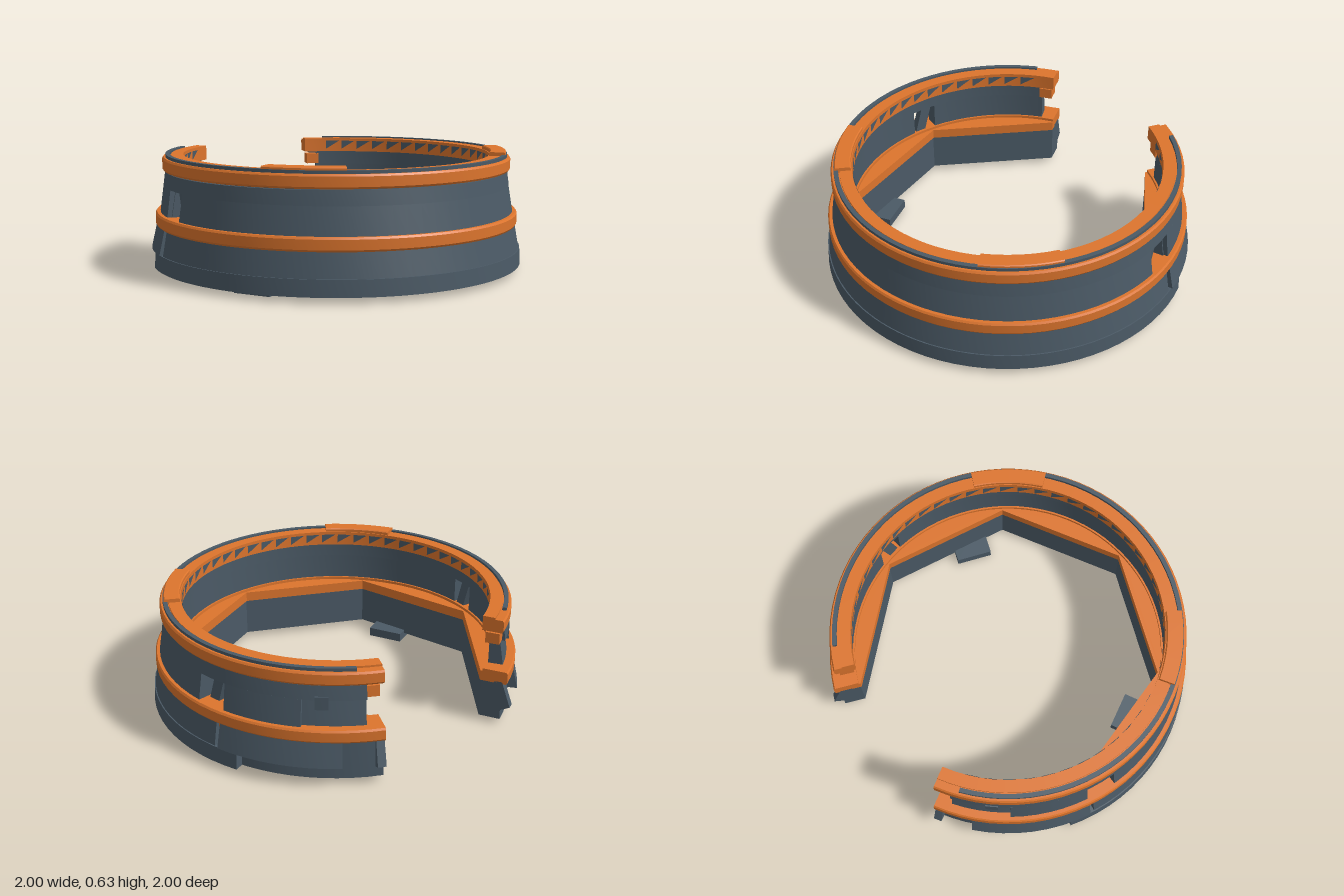
import * as THREE from 'three';
import { toCreasedNormals, mergeGeometries } from 'three/addons/utils/BufferGeometryUtils.js';

const rad = THREE.MathUtils.degToRad;
const STEP = 360 / 7;                 // the base is a heptagon with one side missing
const START = 45 - 3 * STEP, END = 45 + 3 * STEP;

// Closed (radius, height) profile, counter-clockwise, swept between two angles and capped
function sector(profile, a0, a1) {
  const pts = profile.map(([r, y]) => new THREE.Vector2(r, y));
  const segs = Math.max(2, Math.round((a1 - a0) / 4.5));
  const body = new THREE.LatheGeometry([...pts, pts[0].clone()], segs, rad(a0), rad(a1 - a0));
  const caps = [a0, a1].map((a, end) => {
    const cap = new THREE.ShapeGeometry(new THREE.Shape(pts));
    cap.rotateY(rad(a - 90));
    if (end) cap.index.array.reverse();
    return cap;
  });
  return toCreasedNormals(mergeGeometries([body, ...caps]), 0.45);
}

const box = (r0, r1, y0, y1) => [[r0, y0], [r1, y0], [r1, y1], [r0, y1]];

// Slab with a round outside and a seven-sided inside
function heptagonSlab(inner, outer, y0, y1) {
  const shape = new THREE.Shape();
  const at = (r, a) => [r * Math.sin(rad(a)), -r * Math.cos(rad(a))];
  shape.moveTo(...at(outer, START));
  for (let i = 1; i <= 72; i++) shape.lineTo(...at(outer, START + (END - START) * i / 72));
  for (let i = 6; i >= 0; i--) shape.lineTo(...at(inner, START + i * STEP));
  const geo = new THREE.ExtrudeGeometry(shape, { depth: y1 - y0, bevelEnabled: false });
  geo.rotateX(-Math.PI / 2).translate(0, y0, 0);
  return toCreasedNormals(geo, 0.3);
}

export function createModel() {
  const group = new THREE.Group();
  const dark = new THREE.MeshStandardMaterial({ name: 'slate', color: 0x4b5a66 });
  const orange = new THREE.MeshStandardMaterial({ name: 'orange', color: 0xdd752d });
  const toothMat = new THREE.MeshStandardMaterial({ name: 'slateThin', color: 0x4b5a66, side: THREE.DoubleSide });
  const add = (name, geo, mat) => {
    const m = new THREE.Mesh(geo, mat);
    m.name = name;
    group.add(m);
    return m;
  };
  // Same part at both ends of the ring, mirrored about the diagonal x = z
  const addPair = (name, profile, a0, a1, mat) => {
    add(name, sector(profile, a0, a1), mat);
    add(name, sector(profile, 90 - a1, 90 - a0), mat);
  };

  // Base and ledge
  add('base', heptagonSlab(0.835, 0.92, 0.03, 0.24), dark);
  add('ledge', heptagonSlab(0.83, 0.93, 0.24, 0.295), orange);

  // Skirt
  add('bottomBand', sector([[0.88, 0.03], [1.0, 0.03], [0.995, 0.115], [0.88, 0.115]], -66, 156), dark);
  add('skirt', sector([[0.88, 0.11], [0.99, 0.11], [0.965, 0.25], [0.88, 0.25]], -58, 148), dark);
  addPair('endSkirt', [[0.88, 0.115], [1.0, 0.115], [0.97, 0.25], [0.88, 0.25]], -97, -59.5, dark);
  addPair('endSkirtRecess', [[0.88, 0.03], [0.95, 0.03], [0.945, 0.25], [0.88, 0.25]], START, -59, dark);
  addPair('endFin', [[0.88, 0.05], [1.0, 0.11], [0.95, 0.25], [0.88, 0.25]], START, START + 2.5, dark);

  // Middle band
  add('middleBand', sector([[0.84, 0.24], [0.97, 0.24], [0.977, 0.25], [0.977, 0.3],
    [0.97, 0.31], [0.84, 0.31]], START, END), orange);

  // Upper wall, with a slot on either side
  add('upperWall', sector([[0.85, 0.3], [0.955, 0.3], [0.93, 0.45], [0.85, 0.45]], -50, 140), dark);
  addPair('endWall', [[0.85, 0.3], [0.93, 0.3], [0.905, 0.45], [0.85, 0.45]], START + 5, -59.5, dark);
  addPair('endWallPanel', [[0.88, 0.3], [0.952, 0.3], [0.932, 0.45], [0.88, 0.45]], -85, -60, dark);
  add('upperStrip', sector([[0.85, 0.45], [0.932, 0.45], [0.922, 0.525], [0.85, 0.525]], START + 5, END - 5), dark);
  add('neck', sector(box(0.84, 0.905, 0.52, 0.54), START + 2, END - 2), dark);
  addPair('hangingBlock', box(0.87, 0.935, 0.4, 0.47), -93, -89, dark);
  addPair('endTab', box(0.84, 0.915, 0.455, 0.515), START + 1, START + 6, orange);
  addPair('slotTab', box(0.87, 0.95, 0.205, 0.25), -59.5, -57, orange);

  // Slanted struts inside the slots
  for (const [a, lean] of [[-54.5, 1], [144.5, -1]]) {
    const pivot = new THREE.Group();
    pivot.name = 'slotStrut';
    pivot.rotation.y = rad(a);
    const strut = new THREE.Mesh(new THREE.BoxGeometry(0.06, 0.24, 0.04), dark);
    strut.position.set(0, 0.38, 0.875);
    strut.rotation.z = lean * 0.3;
    pivot.add(strut);
    group.add(pivot);
  }

  // Top band, rims and raised plates
  add('topBand', sector([[0.825, 0.53], [0.93, 0.53], [0.937, 0.54], [0.937, 0.59],
    [0.93, 0.6], [0.825, 0.6]], START, END), orange);
  add('topRim', sector(box(0.825, 0.89, 0.6, 0.61), START, END), orange);
  add('darkRim', sector(box(0.897, 0.92, 0.6, 0.616), START + 8, END - 8), dark);
  for (const a of [-4, 94]) {
    add('raisedPlate', sector([[0.83, 0.6], [0.915, 0.6], [0.915, 0.625], [0.91, 0.63],
      [0.835, 0.63], [0.83, 0.625]], a - 13, a + 13), orange);
  }

  // Dark saw teeth on the inside of the top band
  const teeth = [];
  const count = 44, pitch = (END - START - 16) / count;
  for (let i = 0; i < count; i++) {
    const a = START + 8 + i * pitch;
    const p = (deg, y) => new THREE.Vector3(0.82 * Math.sin(rad(deg)), y, 0.82 * Math.cos(rad(deg)));
    const tooth = new THREE.BufferGeometry().setFromPoints(
      [p(a, 0.595), p(a + pitch * 0.85, 0.595), p(a + pitch * 0.85, 0.545)]);
    tooth.computeVertexNormals();
    teeth.push(tooth);
  }
  add('innerTeeth', mergeGeometries(teeth), toothMat);

  // Feet
  for (const a of [-21, 111]) {
    const foot = add('foot', new THREE.BoxGeometry(0.2, 0.05, 0.22), dark);
    foot.position.set(0.793 * Math.sin(rad(a)), 0.025, 0.793 * Math.cos(rad(a)));
    foot.rotation.y = rad(a);
  }
  return group;
}
